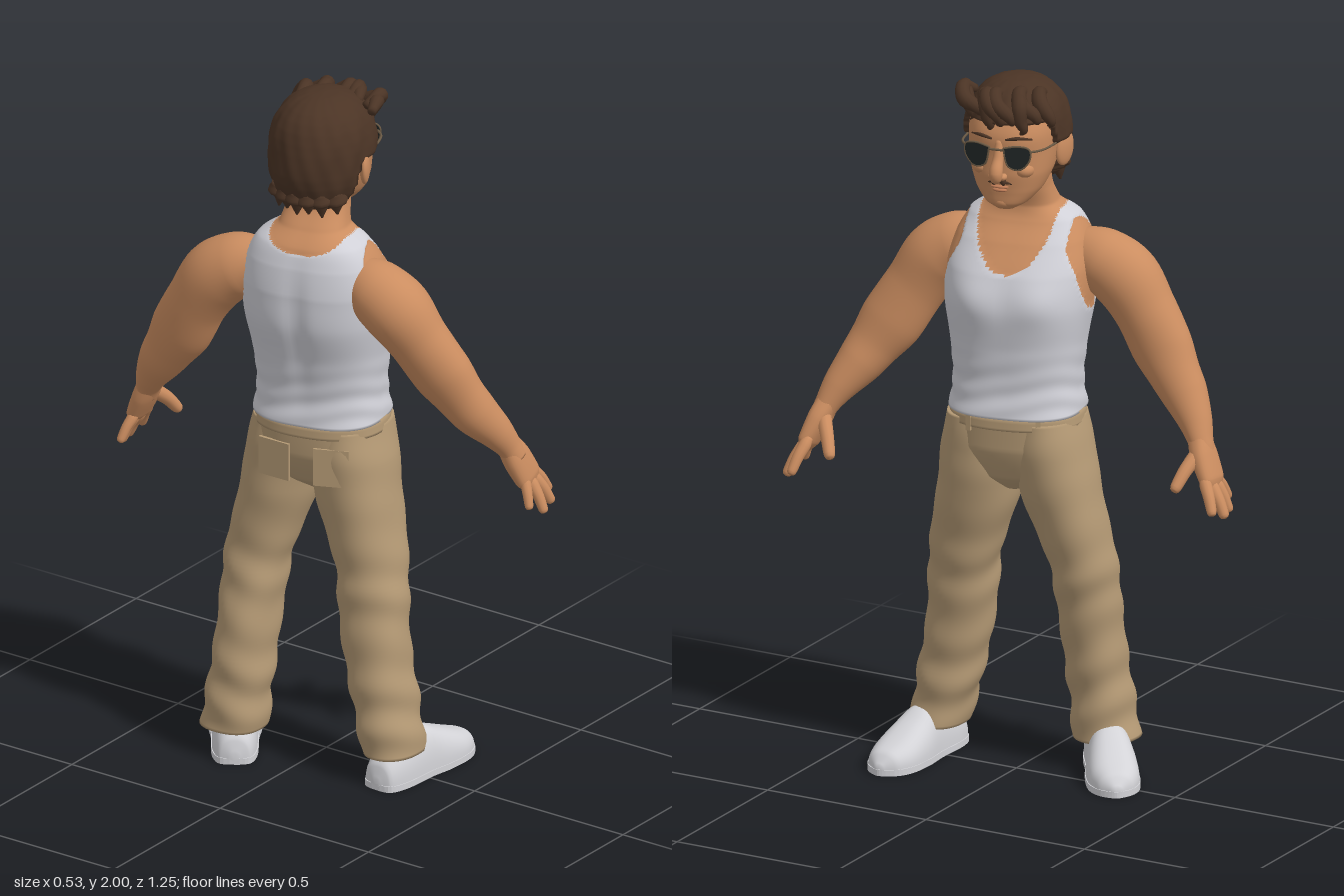
import * as THREE from 'three';

const mat = (name, color) => Object.assign(new THREE.MeshStandardMaterial({ color }), { name });
const V = (x, y, z) => new THREE.Vector3(x, y, z);
const smooth = THREE.MathUtils.smoothstep;
const bump = (v, centre, width) => Math.exp(-(((v - centre) / width) ** 2));

// Skins smoothly interpolated cross-sections [x, y, z, a, b].
// flat: horizontal sections, listed upward; otherwise sections stand across the path.
// scale(p, angle) swells a point about its section centre; pick(p) chooses a material group.
function loft(rings, { flat = false, seg = 24, rows = 24, n = 2, ref = V(1, 0, 0), scale, pick = () => 0 } = {}) {
  const path = new THREE.CatmullRomCurve3(rings.map(r => V(r[0], r[1], r[2])));
  const size = new THREE.CatmullRomCurve3(rings.map(r => V(r[3], r[4] ?? r[3], 0)));
  const pts = [], ends = [];
  for (let i = 0; i <= rows; i++) {
    const t = i / rows, c = path.getPoint(t), s = size.getPoint(t);
    const T = flat ? V(0, 1, 0) : path.getTangent(t);
    const U = ref.clone().addScaledVector(T, -ref.dot(T)).normalize();
    const W = U.clone().cross(T);
    if (i === 0 || i === rows) ends.push(c);
    for (let j = 0; j < seg; j++) {
      const q = (j / seg) * Math.PI * 2, co = Math.cos(q), si = Math.sin(q);
      const a = Math.max(s.x, 0.001) * Math.sign(co) * Math.abs(co) ** (2 / n);
      const b = Math.max(s.y, 0.001) * Math.sign(si) * Math.abs(si) ** (2 / n);
      const p = c.clone().addScaledVector(U, a).addScaledVector(W, b);
      if (scale) p.sub(c).multiplyScalar(scale(p.clone().add(c), q)).add(c);
      pts.push(p);
    }
  }
  pts.push(...ends);
  const groups = [];
  const tri = (...f) => {
    const mid = V(0, 0, 0);
    f.forEach(k => mid.addScaledVector(pts[k], 1 / 3));
    (groups[pick(mid)] ??= []).push(...f);
  };
  const last = rows * seg, e = pts.length - 2;
  for (let j = 0; j < seg; j++) {
    const k = (j + 1) % seg;
    for (let i = 0; i < rows; i++) {
      const r = i * seg, u = r + seg;
      tri(r + j, u + j, r + k);
      tri(r + k, u + j, u + k);
    }
    tri(e, j, k);
    tri(e + 1, last + k, last + j);
  }
  const g = new THREE.BufferGeometry().setFromPoints(pts);
  g.setIndex(groups.flat());
  let start = 0;
  groups.forEach((f, m) => { g.addGroup(start, f.length, m); start += f.length; });
  g.computeVertexNormals();
  return g;
}

export function createModel() {
  const skin = mat('skin', 0xcb8d60), shirt = mat('shirt', 0xd0d0d7), trousers = mat('trousers', 0xb59a75);
  const hair = mat('hair', 0x4b3425), shoe = mat('shoe', 0xd3d3d7), lens = mat('lens', 0x202625);
  const lip = mat('lip', 0xbd7b56), metal = mat('metal', 0x6b5a45);
  const model = new THREE.Group();
  const add = (parent, name, geometry, material) => {
    const m = new THREE.Mesh(geometry, material);
    m.name = name;
    parent.add(m);
    return m;
  };
  const group = (name, x, z, yaw) => {
    const g = new THREE.Group();
    g.name = name;
    g.position.set(x, 0, z);
    g.rotation.y = yaw;
    model.add(g);
    return g;
  };

  // Torso: vest and bare shoulders share one surface
  const body = group('body', -0.058, 0.02, 0.21);
  const bare = p => {
    const side = Math.abs(p.z);
    if (p.y > 1.612) return 1;
    const depth = p.x > -0.03 ? 0.165 : 0.05;
    if ((side / 0.112) ** 2 + ((p.y - 1.62) / depth) ** 2 < 1) return 1;
    return side > 0.15 && ((p.x + 0.02) / 0.1) ** 2 + ((p.y - 1.46) / 0.125) ** 2 < 1 ? 1 : 0;
  };
  add(body, 'torso', loft([
    [0.02, 1.045, 0, 0.156, 0.188], [0.018, 1.13, 0, 0.145, 0.178], [0.012, 1.24, 0, 0.157, 0.187],
    [0, 1.36, 0, 0.178, 0.205], [-0.015, 1.45, 0, 0.166, 0.207], [-0.035, 1.53, 0, 0.135, 0.188],
    [-0.045, 1.585, 0, 0.105, 0.155], [-0.033, 1.625, 0, 0.08, 0.1], [-0.005, 1.68, 0, 0.07, 0.088],
    [0.015, 1.75, 0, 0.07, 0.085]], {
    flat: true, seg: 120, rows: 110, n: 2.5, pick: bare,
    scale: (p, q) => {
      const z = Math.abs(p.z), front = smooth(p.x, -0.02, 0.06);
      const chest = front * 0.07 * bump(p.y, 1.39, 0.06) * bump(z, 0.085, 0.06);
      const spine = (1 - front) * -0.06 * bump(z, 0, 0.03) * bump(p.y, 1.35, 0.18);
      const folds = 0.012 * Math.sin(p.y * 95 + 3 * Math.sin(q * 2)) * bump(p.y, 1.1, 0.1);
      return 1 + chest + spine + folds - (bare(p) ? 0.02 : 0);
    } }), [shirt, skin]);

  // Trousers: hips, waistband, pockets and creased legs
  add(body, 'hips', loft([[0.03, 0.815, 0, 0.05, 0.03], [0.025, 0.86, 0, 0.105, 0.13],
    [0.02, 0.95, 0, 0.143, 0.19], [0.02, 1.06, 0, 0.15, 0.184]], { flat: true, seg: 48, rows: 36, n: 2.3 }), trousers);
  add(body, 'waistband', loft([[0.02, 1.012, 0, 0.153, 0.19], [0.02, 1.05, 0, 0.152, 0.187]],
    { flat: true, seg: 48, rows: 3, n: 2.3 }), trousers);
  for (const s of [-1, 1]) {
    const pocket = add(body, 'backPocket', new THREE.BoxGeometry(0.009, 0.11, 0.1), trousers);
    pocket.position.set(-0.118, 0.93, s * 0.085);
    pocket.rotation.y = s * 0.2;
    const loop = add(body, 'beltLoop', new THREE.BoxGeometry(0.008, 0.05, 0.014), trousers);
    loop.position.set(0.156, 1.025, s * 0.1);
    loop.rotation.y = -s * 0.25;
  }
  const creases = phase => (p, q) => 1
    + 0.05 * Math.sin(p.y * 48 + phase + 2.2 * Math.sin(q + phase)) * (0.15 + bump(p.y, 0.2, 0.16) + 0.7 * bump(p.y, 0.55, 0.1))
    + 0.02 * Math.sin(3 * q + p.y * 14 + phase) * (1 - smooth(p.y, 0.75, 0.95));
  const leg = (name, rings, phase) => add(model, name,
    loft(rings, { flat: true, seg: 48, rows: 90, n: 2.2, scale: creases(phase) }), trousers);
  leg('leftLeg', [[-0.155, 0.085, -0.195, 0.098, 0.09], [-0.15, 0.2, -0.183, 0.093, 0.085],
    [-0.125, 0.4, -0.17, 0.097, 0.082], [-0.085, 0.6, -0.16, 0.098, 0.09],
    [-0.058, 0.8, -0.113, 0.12, 0.105], [-0.048, 0.93, -0.09, 0.132, 0.105], [-0.045, 1.03, -0.08, 0.13, 0.09]], 0);
  leg('rightLeg', [[-0.05, 0.085, 0.267, 0.1, 0.077], [-0.055, 0.2, 0.243, 0.095, 0.086],
    [-0.05, 0.4, 0.205, 0.092, 0.093], [-0.033, 0.6, 0.177, 0.098, 0.098],
    [-0.025, 0.8, 0.13, 0.123, 0.113], [-0.025, 0.93, 0.115, 0.134, 0.11], [-0.025, 1.03, 0.11, 0.13, 0.092]], 2);

  // Shoes: rounded uppers tapering to the toe, on thin flat soles
  const footprint = [[0, 0.012, 0.02], [0.012, 0.045, 0.065], [0.07, 0.062, 0.11], [0.17, 0.064, 0.128],
    [0.24, 0.072, 0.102], [0.32, 0.07, 0.068], [0.37, 0.05, 0.048], [0.398, 0.012, 0.016]];
  const makeShoe = (name, x, z, yaw) => {
    const g = group(name, x, z, yaw);
    const upper = loft(footprint.map(([d, w, h]) => [d, 0.012, 0, h, w]), { seg: 40, rows: 36, n: 2.5, ref: V(0, 1, 0) });
    const pos = upper.attributes.position;
    for (let i = 0; i < pos.count; i++) pos.setY(i, Math.max(pos.getY(i), 0.012));
    upper.computeVertexNormals();
    add(g, 'upper', upper, shoe);
    const outline = new THREE.Shape(new THREE.SplineCurve([
      ...footprint.map(([d, w]) => new THREE.Vector2(d, w + 0.002)),
      ...footprint.slice().reverse().map(([d, w]) => new THREE.Vector2(d, -w - 0.002))]).getPoints(60));
    add(g, 'sole', new THREE.ExtrudeGeometry(outline, { depth: 0.018, bevelEnabled: false }).rotateX(-Math.PI / 2), shoe);
  };
  makeShoe('leftShoe', -0.242, -0.137, 0.61);
  makeShoe('rightShoe', -0.153, 0.275, -0.06);

  // Arms: muscled limb, flattened palm, four fingers and a thumb
  const makeArm = (name, limb, palm, fingers) => {
    const g = group(name, 0, 0, 0);
    add(g, 'limb', loft(limb, { seg: 32, rows: 64 }), skin);
    add(g, 'palm', loft(palm, { seg: 24, n: 2.4 }), skin);
    for (const [base, tip, r] of fingers) {
      const a = V(...base), b = V(...tip);
      const at = (t, k, lift = 0) => { const p = a.clone().lerp(b, t); return [p.x, p.y + lift, p.z, r * k]; };
      add(g, 'finger', loft([at(-0.15, 0.8), at(0.1, 1.1), at(0.5, 1, 0.005), at(0.88, 0.85), at(0.97, 0.6), at(1, 0.1)],
        { seg: 12, rows: 18 }), skin);
    }
  };
  makeArm('rightArm', [[-0.085, 1.49, 0.14, 0.055, 0.06], [-0.08, 1.463, 0.218, 0.088, 0.09], [-0.07, 1.42, 0.283, 0.096, 0.097],
    [-0.042, 1.33, 0.342, 0.08, 0.088], [-0.008, 1.235, 0.395, 0.073, 0.09], [0.02, 1.165, 0.437, 0.064, 0.075],
    [0.045, 1.115, 0.467, 0.064, 0.066], [0.09, 1.05, 0.507, 0.05, 0.048], [0.12, 1, 0.53, 0.038, 0.034],
    [0.135, 0.965, 0.543, 0.035, 0.03]],
  [[0.118, 1.01, 0.526, 0.034, 0.03], [0.14, 0.96, 0.543, 0.047, 0.03], [0.163, 0.905, 0.562, 0.048, 0.024],
    [0.172, 0.88, 0.57, 0.03, 0.012]], [
    [[0.2, 0.91, 0.55], [0.26, 0.83, 0.567], 0.016], [[0.185, 0.895, 0.567], [0.226, 0.812, 0.6], 0.017],
    [[0.163, 0.89, 0.575], [0.166, 0.806, 0.618], 0.016], [[0.138, 0.9, 0.572], [0.115, 0.83, 0.603], 0.014],
    [[0.145, 0.975, 0.525], [0.228, 0.885, 0.458], 0.019]]);
  makeArm('leftArm', [[-0.135, 1.49, -0.1, 0.055, 0.06], [-0.15, 1.463, -0.18, 0.088, 0.09], [-0.162, 1.42, -0.248, 0.094, 0.097],
    [-0.17, 1.33, -0.31, 0.083, 0.088], [-0.17, 1.235, -0.362, 0.073, 0.09], [-0.162, 1.165, -0.407, 0.066, 0.075],
    [-0.155, 1.115, -0.442, 0.062, 0.066], [-0.135, 1.05, -0.487, 0.048, 0.048], [-0.117, 1, -0.515, 0.038, 0.034],
    [-0.11, 0.965, -0.53, 0.035, 0.03]],
  [[-0.117, 1.01, -0.51, 0.034, 0.03], [-0.106, 0.96, -0.533, 0.047, 0.03], [-0.097, 0.905, -0.56, 0.048, 0.024],
    [-0.095, 0.88, -0.57, 0.03, 0.012]], [
    [[-0.132, 0.9, -0.556], [-0.175, 0.83, -0.573], 0.014], [[-0.11, 0.89, -0.568], [-0.125, 0.808, -0.603], 0.016],
    [[-0.085, 0.89, -0.568], [-0.075, 0.806, -0.617], 0.017], [[-0.062, 0.905, -0.56], [-0.025, 0.825, -0.605], 0.016],
    [[-0.085, 0.97, -0.518], [0.002, 0.885, -0.495], 0.019]]);

  // Head and face
  const head = group('head', -0.045, 0.02, 0.17);
  const blob = (name, x, y, z, a, b, c, material) => add(head, name,
    new THREE.SphereGeometry(1, 24, 16).scale(a, b, c).translate(x, y, z), material);
  add(head, 'face', loft([[0.095, 1.645, 0, 0.03, 0.028], [0.083, 1.663, 0, 0.06, 0.06], [0.06, 1.7, 0, 0.088, 0.092],
    [0.04, 1.75, 0, 0.115, 0.112], [0.025, 1.8, 0, 0.13, 0.12], [0.015, 1.86, 0, 0.143, 0.124],
    [0.005, 1.92, 0, 0.128, 0.115], [0, 1.965, 0, 0.08, 0.08]], { flat: true, seg: 48, rows: 48, n: 2.3 }), skin);
  add(head, 'nose', loft([[0.148, 1.85, 0, 0.012], [0.164, 1.8, 0, 0.015], [0.181, 1.766, 0, 0.019],
    [0.178, 1.75, 0, 0.017], [0.165, 1.74, 0, 0.006]], { seg: 20 }), skin);
  blob('chin', 0.122, 1.668, 0, 0.024, 0.02, 0.03, skin);
  blob('upperLip', 0.148, 1.718, 0, 0.012, 0.005, 0.027, lip);
  blob('lowerLip', 0.146, 1.708, 0, 0.012, 0.006, 0.022, lip);
  for (const s of [-1, 1]) {
    const ear = blob('ear', 0, 0, 0, 0.035, 0.05, 0.014, skin);
    ear.position.set(-0.008, 1.795, s * 0.132);
    ear.rotation.set(0, s * 0.35, 0.15);
    blob('cheek', 0.115, 1.765, s * 0.06, 0.035, 0.025, 0.03, skin);
    blob('nostril', 0.166, 1.752, s * 0.016, 0.014, 0.01, 0.011, skin);
    add(head, 'moustache', loft([[0.157, 1.734, s * 0.003, 0.004], [0.154, 1.732, s * 0.02, 0.004],
      [0.144, 1.725, s * 0.038, 0.001]], { seg: 10, rows: 10 }), hair);
    add(head, 'eyebrow', loft([[0.158, 1.857, s * 0.02, 0.003], [0.155, 1.863, s * 0.05, 0.005],
      [0.128, 1.857, s * 0.088, 0.002]], { seg: 10, rows: 12 }), hair);

    // Sunglasses: teardrop lens, wire rim and temple
    const rim = new THREE.SplineCurve([[0.034, 0.024], [-0.005, 0.031], [-0.038, 0.024], [-0.038, -0.008], [-0.012, -0.035],
      [0.022, -0.025], [0.034, 0.024]].map(([u, v]) => new THREE.Vector2(u * s, v))).getPoints(40);
    const eye = new THREE.Group();
    eye.name = 'eyepiece';
    eye.position.set(0.168, 1.815, s * 0.054);
    eye.rotation.y = Math.PI / 2 - s * 0.16;
    head.add(eye);
    add(eye, 'lens', new THREE.ExtrudeGeometry(new THREE.Shape(rim), { depth: 0.006, bevelEnabled: false }), lens);
    const wire = new THREE.CatmullRomCurve3(rim.slice(1).map(p => V(p.x, p.y, 0.004)), true);
    add(eye, 'rim', new THREE.TubeGeometry(wire, 60, 0.003, 6, true), metal);
    const temple = new THREE.CatmullRomCurve3([V(0.16, 1.83, s * 0.09), V(0.13, 1.83, s * 0.115), V(0.01, 1.825, s * 0.132)]);
    add(head, 'temple', new THREE.TubeGeometry(temple, 16, 0.0035, 6), metal);
  }
  add(head, 'bridge', new THREE.TubeGeometry(new THREE.LineCurve3(V(0.176, 1.833, -0.022), V(0.176, 1.833, 0.022)), 4, 0.0035, 6), metal);

  // Hair: ridged cap that sinks into the head below the hairline, with loose front curls
  const hairline = x => 1.68 + 0.14 * smooth(x, -0.075, -0.03) + 0.07 * smooth(x, 0.055, 0.09);
  const capRings = [];
  for (let i = 0; i <= 16; i++) {
    const s = Math.sin((i / 16 - 0.5) * Math.PI * 0.98);
    const r = (1 - Math.abs(s) ** 2.4) ** (1 / 2.3);
    capRings.push([s < 0 ? 0.01 * s : 0.005 * s, 1.828 + 0.168 * s, 0, 0.166 * r, 0.146 * r]);
  }
  add(head, 'hairCap', loft(capRings, { flat: true, seg: 110, rows: 90, scale: (p, q) => {
    const ridges = 0.015 * Math.sin(7 * q + 34 * p.y + 2 * Math.sin(3 * q)) + 0.008 * Math.sin(17 * q - 40 * p.y);
    const cover = smooth(p.y - hairline(p.x), -0.006, 0.01);
    return (1 + ridges) * (0.68 + 0.32 * cover);
  } }), hair);
  for (let i = 0; i < 8; i++) {
    const z = (i - 3.5) * 0.032, x = 0.15 - z * z * 4.5, sway = 0.02 * Math.sin(i * 2.3);
    add(head, 'curl', loft([[x - 0.08, 1.955, z + 0.03, 0.012], [x - 0.035, 1.968 + sway * 0.3, z + 0.03 + sway, 0.02],
      [x + 0.002, 1.95, z + 0.012 + sway, 0.022], [x + 0.009, 1.922 + sway * 0.5, z - 0.012, 0.018],
      [x + 0.004, 1.9 + sway * 0.7, z - 0.02, 0.012], [x, 1.89 + sway, z - 0.008, 0.003]],
    { seg: 12, rows: 24, ref: V(0, 0, 1) }), hair);
  }
  for (let i = 0; i < 6; i++) {
    const z = (i - 2.5) * 0.034, x = -0.115 + z * z * 5;
    add(head, 'napeLock', loft([[x - 0.02, 1.75, z, 0.02], [x - 0.012, 1.71, z, 0.02], [x - 0.012, 1.672 + 0.008 * (i % 2), z * 1.05, 0.003]],
      { seg: 12, rows: 12 }), hair);
  }
  return model;
}
